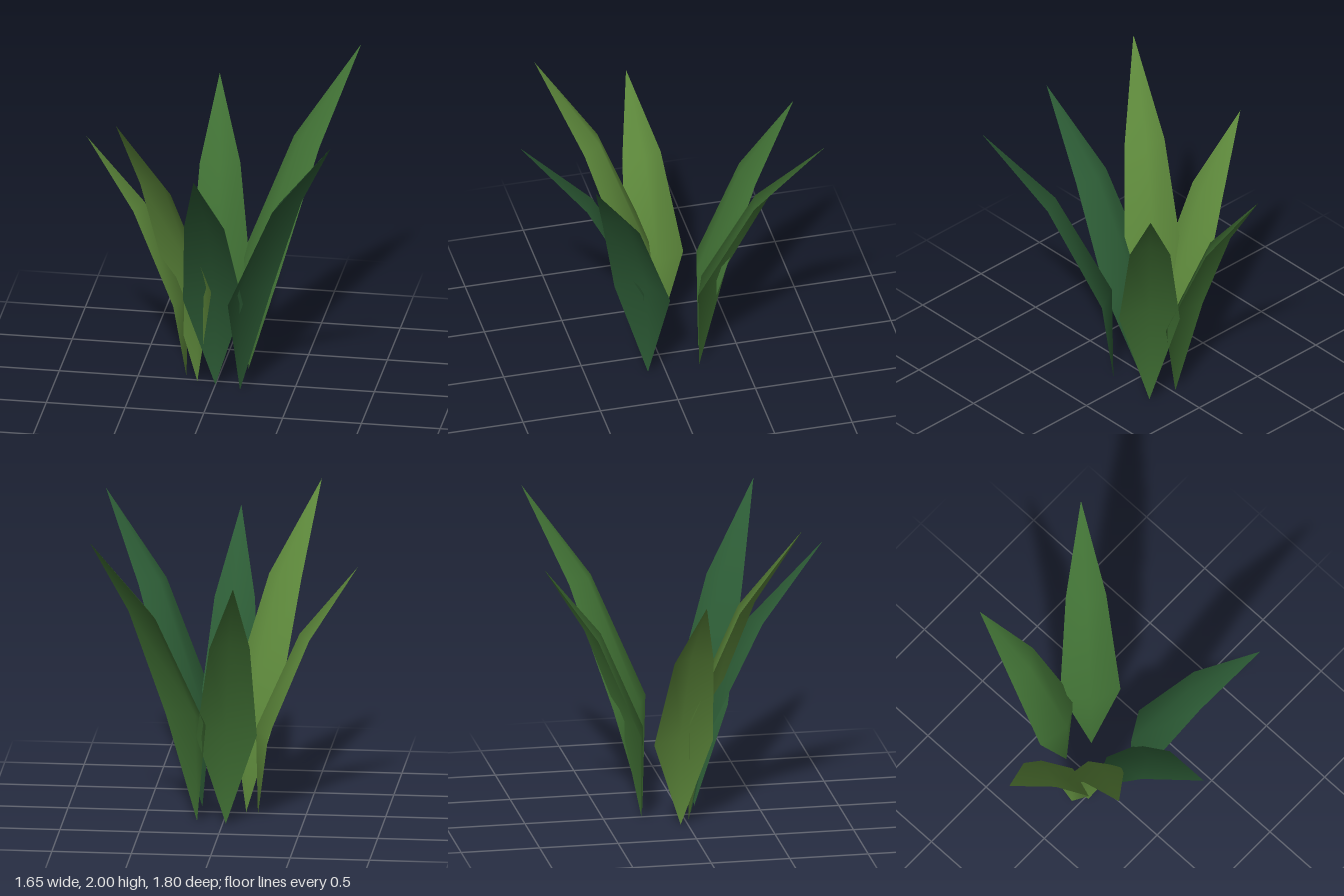
import * as THREE from 'three';

// Cross-sections up a blade: edge reach and height (fractions of the blade),
// half width, depth of the fold and how much higher the fold sits than the edges
const ROWS = [
  { reach: 0.108, height: 0.345, half: 0.19, fold: 0.08, lift: 0.008 },
  { reach: 0.515, height: 0.722, half: 0.127, fold: 0.062, lift: 0.012 },
];

// Thin folded sheet: the middle line lies nearer the plant's centre than the edges
function bladeGeometry([bx, bz], [tx, ty, tz]) {
  const out = new THREE.Vector3(tx - bx, 0, tz - bz);
  const reach = out.length();
  out.normalize();
  const side = new THREE.Vector3(0, 1, 0).cross(out);
  const base = new THREE.Vector3(bx, 0, bz);
  const points = [base];
  for (const r of ROWS) {
    for (const s of [-1, 0, 1]) {
      const middle = 1 - Math.abs(s);
      const p = base.clone()
        .addScaledVector(out, r.reach * reach - middle * r.fold)
        .addScaledVector(side, s * r.half);
      p.y = r.height * ty + middle * r.lift;
      points.push(p);
    }
  }
  points.push(new THREE.Vector3(tx, ty, tz));

  // Fans at base and tip, quads between the two sections
  const index = [];
  for (const a of [1, 2]) {
    const b = a + 1;
    index.push(0, a, b, a, a + 3, b, b, a + 3, b + 3, a + 3, 7, b + 3);
  }
  const geo = new THREE.BufferGeometry().setFromPoints(points);
  geo.setIndex(index);
  geo.computeVertexNormals();
  return geo;
}

// Base (x, z), tip (x, y, z) and colour of every blade
const BLADES = [
  { name: 'frontLeaf', base: [0, 0.055], tip: [0, 1.75, 0.9], color: 0x2c5b35 },
  { name: 'frontLeftLeaf', base: [0.165, 0.11], tip: [0.825, 1.92, 0.612], color: 0x2c5b35 },
  { name: 'backLeftLeaf', base: [0.165, -0.22], tip: [0.772, 1.98, -0.88], color: 0x407034 },
  { name: 'backLeaf', base: [-0.02, -0.26], tip: [-0.13, 1.71, -0.903], color: 0x407034 },
  { name: 'rightLeaf', base: [-0.2, -0.045], tip: [-0.825, 1.62, 0.005], color: 0x5d883b },
  { name: 'frontRightLeaf', base: [-0.12, 0.02], tip: [-0.53, 2, 0.67], color: 0x5d883b },
];

export function createModel() {
  const plant = new THREE.Group();
  plant.name = 'leafCluster';
  for (const b of BLADES) {
    const material = new THREE.MeshStandardMaterial({ color: b.color, side: THREE.DoubleSide });
    const leaf = new THREE.Mesh(bladeGeometry(b.base, b.tip), material);
    leaf.name = b.name;
    plant.add(leaf);
  }
  return plant;
}
